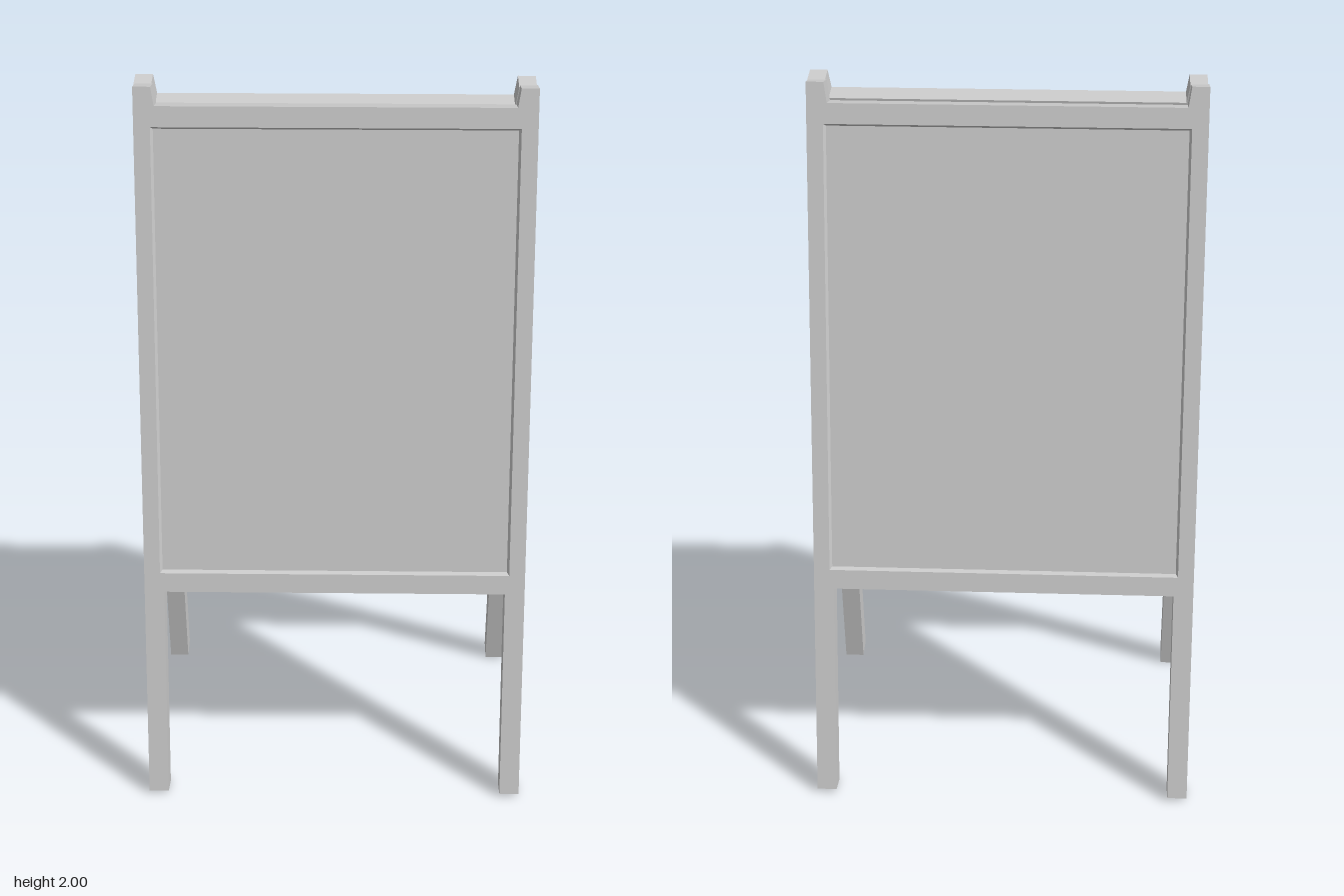
import * as THREE from 'three';

const T = 0.067;                                  // frame thickness
const W = 0.53, LEG = 0.475;                      // half width, inner face of the legs
const RAIL_LOW = 0.612, RAIL_TOP = 1.966;         // underside and top of the rails
const OPEN = { x: 0.486, y0: 0.667, y1: 1.911 };  // opening for the board
const BEVEL = 0.006, RECESS = 0.014;

const material = new THREE.MeshStandardMaterial({ color: 0xcccccc, flatShading: true });

// Corners of the opening, anticlockwise, shrunk by an inset
function openingCorners(inset) {
  const x = OPEN.x - inset, y0 = OPEN.y0 + inset, y1 = OPEN.y1 - inset;
  return [[-x, y0], [x, y0], [x, y1], [-x, y1]];
}

// Legs and rails in one outline, with the opening cut out
function frameGeometry(length) {
  const half = [[LEG, 0], [W, 0], [W, length], [LEG + 0.008, length], [LEG, RAIL_TOP]];
  const outline = [
    [LEG, RAIL_LOW], ...half,
    ...half.map(([x, y]) => [-x, y]).reverse(), [-LEG, RAIL_LOW],
  ];
  const shape = new THREE.Shape(outline.map(p => new THREE.Vector2(...p)));
  shape.holes.push(new THREE.Path(openingCorners(0).map(p => new THREE.Vector2(...p)).reverse()));
  return new THREE.ExtrudeGeometry(shape, { depth: T, bevelEnabled: false });
}

// Sunken board face with sloping edges, facing +z
function boardGeometry() {
  const rim = openingCorners(0).map(p => [...p, T / 2]);
  const bed = openingCorners(BEVEL).map(p => [...p, T / 2 - RECESS]);
  const index = [4, 5, 6, 4, 6, 7];
  for (let i = 0; i < 4; i++) {
    const j = (i + 1) % 4;
    index.push(i, j, j + 4, i, j + 4, i + 4);
  }
  const g = new THREE.BufferGeometry();
  g.setAttribute('position', new THREE.Float32BufferAttribute([...rim, ...bed].flat(), 3));
  g.setIndex(index);
  const flat = g.toNonIndexed();
  flat.computeVertexNormals();
  return flat;
}

// One leaning half, pivoting on the inner edge of its feet
function makePanel(name, tilt, footZ, height) {
  const panel = new THREE.Group();
  panel.name = name;
  const frame = new THREE.Mesh(frameGeometry(height / Math.cos(tilt)), material);
  frame.name = 'frame';
  panel.add(frame);
  for (const side of ['outerBoard', 'innerBoard']) {
    const board = new THREE.Mesh(boardGeometry(), material);
    board.name = side;
    board.position.z = T / 2;
    if (side === 'innerBoard') board.rotation.y = Math.PI;
    panel.add(board);
  }
  panel.position.z = footZ;
  panel.rotation.x = -tilt;
  return panel;
}

export function createModel() {
  const model = new THREE.Group();
  model.name = 'sandwichBoard';
  model.add(makePanel('frontPanel', THREE.MathUtils.degToRad(9.45), 0.339, 1.989));

  // The back half leans a little more and sits slightly to one side
  const back = new THREE.Group();
  back.name = 'backHalf';
  back.add(makePanel('backPanel', THREE.MathUtils.degToRad(10.4), 0.339, 1.988));
  back.rotation.y = Math.PI;
  back.position.x = -0.003;
  model.add(back);
  return model;
}
